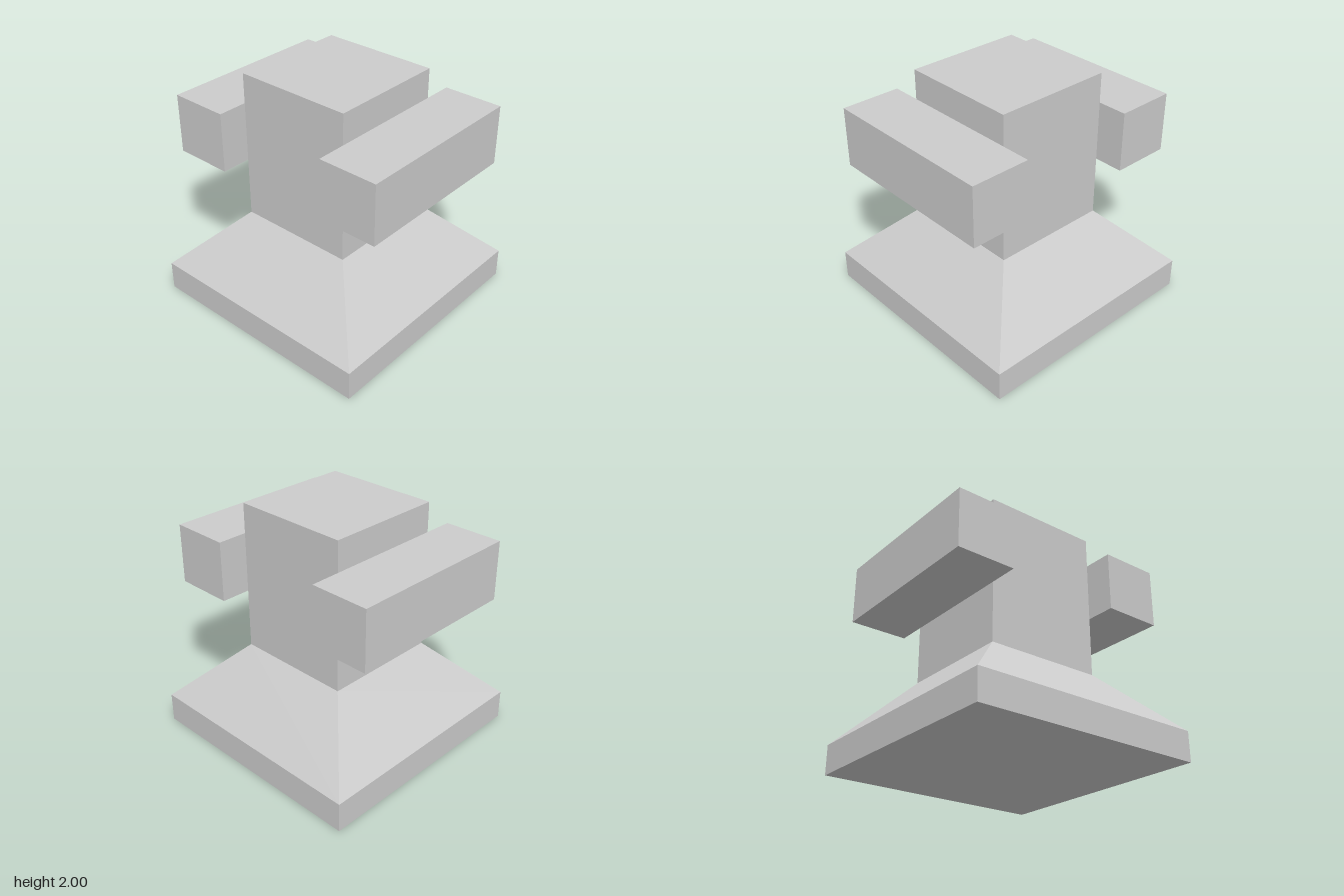
import * as THREE from 'three';

const material = new THREE.MeshStandardMaterial({ color: 0xcccccc, flatShading: true });

// Square-plan solid from a [half width, height] profile, listed bottom to top
function squareLathe(name, profile) {
  const points = profile.map(([half, y]) => new THREE.Vector2(half * Math.SQRT2, y));
  const geometry = new THREE.LatheGeometry(points, 4, Math.PI / 4).toNonIndexed();
  geometry.computeVertexNormals();
  const mesh = new THREE.Mesh(geometry, material);
  mesh.name = name;
  return mesh;
}

export function createModel() {
  const model = new THREE.Group();
  model.name = 'pedestalWithSideBars';

  // Pedestal: slab, sloped shoulder and square column, joined without hidden faces
  model.add(
    squareLathe('baseSlab', [[0, 0], [1, 0], [1, 0.25]]),
    squareLathe('slopedShoulder', [[1, 0.25], [0.5, 0.75]]),
    squareLathe('column', [[0.5, 0.75], [0.5, 2], [0, 2]])
  );

  // Side bars, mirrored against the column
  for (const [name, side] of [['leftBar', 1], ['rightBar', -1]]) {
    const bar = new THREE.Mesh(new THREE.BoxGeometry(0.5, 0.5, 1.5), material);
    bar.name = name;
    bar.position.set(side * 0.75, 1.5, 0);
    model.add(bar);
  }

  return model;
}
